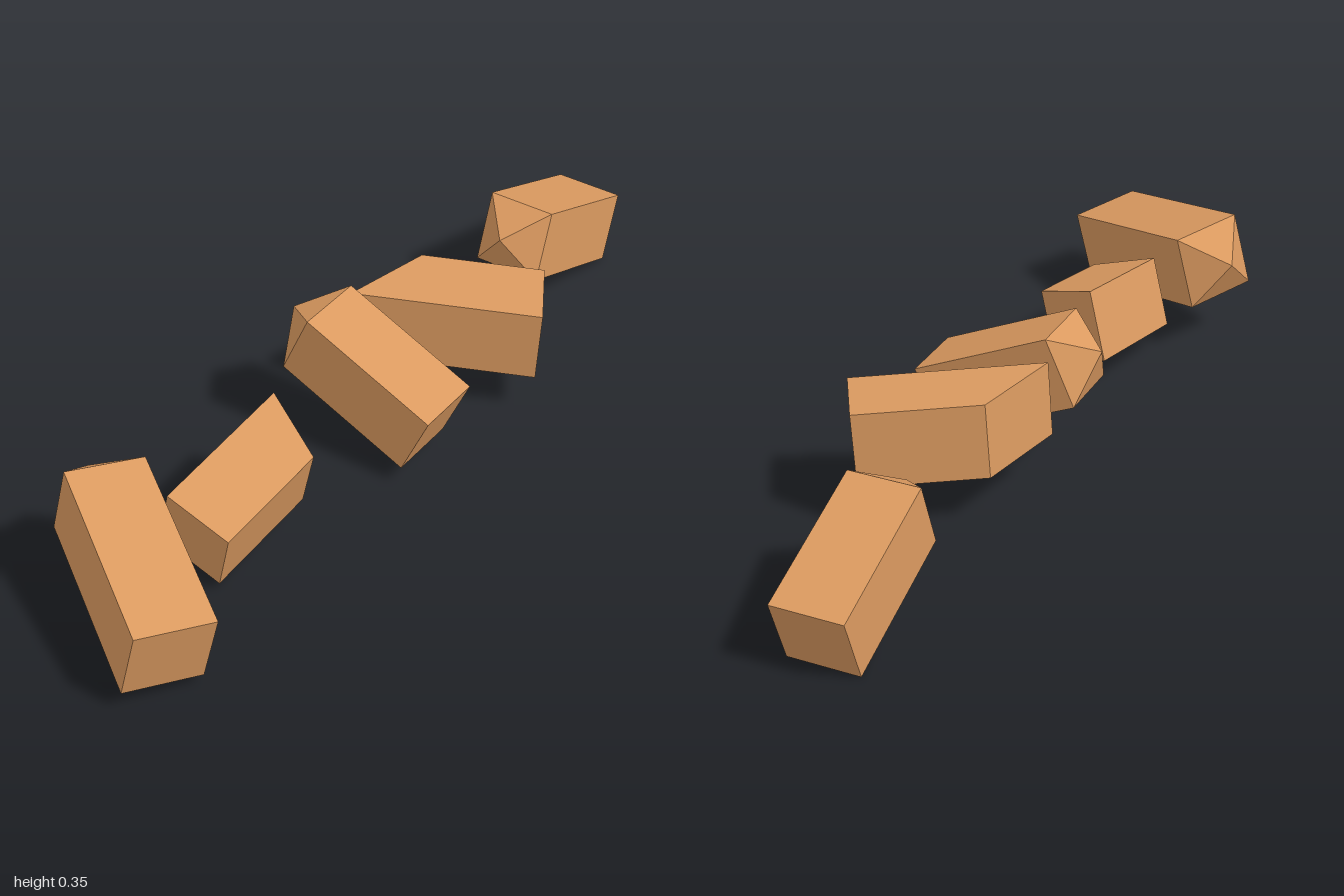
import * as THREE from 'three';
import { ConvexGeometry } from 'three/addons/geometries/ConvexGeometry.js';

const wood = new THREE.MeshStandardMaterial({ color: 0xdb9a60 });
wood.name = 'wood';

// Square beam: starts at the centre of its flat end and runs along `length`.
// `mitre` slants the far end across the width; `tip` adds a pyramid point there.
function beam({ name, start, length, width, height, mitre = 0, tip = 0 }) {
  const [s, l, w, h] = [start, length, width, height].map((a) => new THREE.Vector3(...a));
  const points = [];
  for (const i of [-0.5, 0.5]) {
    for (const j of [-0.5, 0.5]) {
      const corner = s.clone().addScaledVector(w, i).addScaledVector(h, j);
      points.push(corner, corner.clone().addScaledVector(l, 1 + 2 * i * mitre));
    }
  }
  if (tip) points.push(s.clone().addScaledVector(l, 1 + tip));
  const mesh = new THREE.Mesh(new ConvexGeometry(points), wood);
  mesh.name = name;
  return mesh;
}

export function createModel() {
  const group = new THREE.Group();
  group.name = 'scatteredBeams';
  const beams = [
    // pointed beam at the back
    { name: 'backPointedBeam', start: [-0.005, 0.08, -0.97], length: [0, 0.126, 0.335],
      width: [0.17, 0, 0], height: [0, 0.16, -0.06], tip: 0.2 },
    // slanted-end beam behind the middle
    { name: 'backMitredBeam', start: [0.224, 0.191, -0.382], length: [-0.324, 0.0225, 0.1675],
      width: [0.09, -0.006, 0.155], height: [0.012, 0.178, 0], mitre: 0.21 },
    // pointed beam in the middle
    { name: 'middlePointedBeam', start: [0.19, 0.1225, 0.005], length: [-0.325, 0.146, 0],
      width: [0, 0, 0.17], height: [0.07, 0.155, 0], tip: 0.2 },
    // slanted-end beam before the middle
    { name: 'frontMitredBeam', start: [-0.02, 0.125, 0.6175], length: [0.02, 0.055, -0.315],
      width: [0.16, -0.05, 0], height: [0.05, 0.16, 0.025], mitre: -0.11 },
    // large pointed beam at the front
    { name: 'frontPointedBeam', start: [0.1575, 0.1235, 0.9225], length: [-0.365, 0.098, -0.23],
      width: [0.09, -0.022, -0.155], height: [0.045, 0.173, 0], tip: 0.17 },
  ];
  for (const b of beams) group.add(beam(b));
  return group;
}
